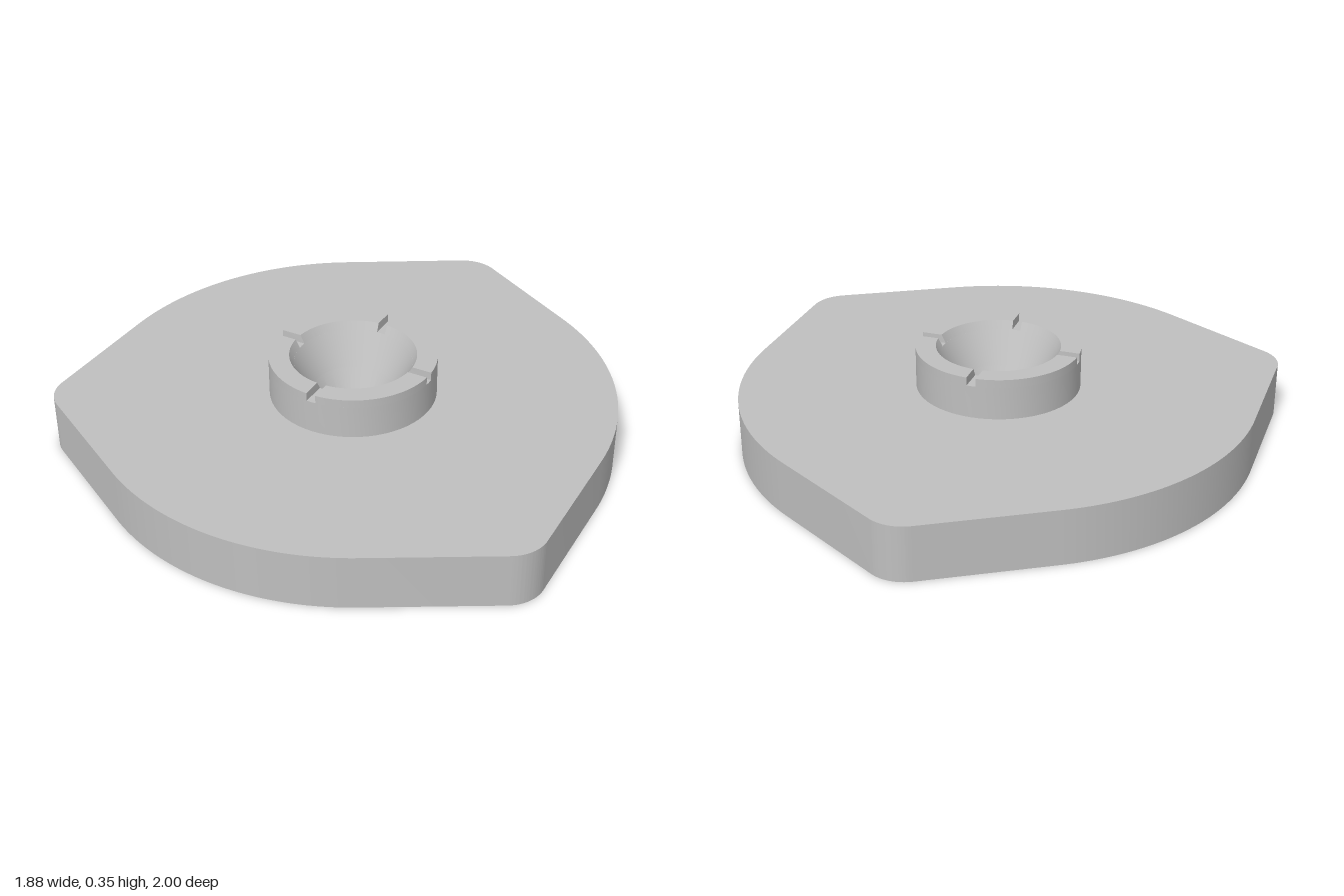
import * as THREE from 'three';
import { toCreasedNormals } from 'three/addons/utils/BufferGeometryUtils.js';

const PLATE_H = 0.2, SLOT_Y = 0.32, TOP_Y = 0.35;
const HUB_R = 0.298, SLOT_HALF = 0.017;
const CENTRE_Z = 0.0635;

// radius of the conical bore at height y
const boreRadius = (y) => 0.04 + (0.225 - 0.04) * (y / TOP_Y);

// extrude a shape upward from y0 to y1; its inner edge (radius < limit) follows the cone
function extrudeWithBore(shape, y0, y1, limit, curveSegments) {
  const geo = new THREE.ExtrudeGeometry(shape, { depth: y1 - y0, bevelEnabled: false, curveSegments });
  geo.rotateX(-Math.PI / 2);
  geo.translate(0, y0, 0);
  const p = geo.attributes.position;
  for (let i = 0; i < p.count; i++) {
    const r = Math.hypot(p.getX(i), p.getZ(i));
    if (r > limit) continue;
    const k = boreRadius(p.getY(i)) / r;
    p.setX(i, p.getX(i) * k);
    p.setZ(i, p.getZ(i) * k);
  }
  return toCreasedNormals(geo, 0.6);
}

// three rounded corners joined by tangents to a large circle
function plateShape() {
  const R = 0.9365, r = 0.14, d = 0.9235;
  const phi = Math.acos((R - r) / d);
  const shape = new THREE.Shape();
  for (let k = 0; k < 3; k++) {
    const a = Math.PI / 2 + (k * 2 * Math.PI) / 3;
    shape.absarc(d * Math.cos(a), d * Math.sin(a), r, a - phi, a + phi, false);
    shape.absarc(0, 0, R, a + phi, a + (2 * Math.PI) / 3 - phi, false);
  }
  shape.closePath();
  const hole = new THREE.Path();
  hole.absarc(0, 0, boreRadius(PLATE_H), 0, Math.PI * 2, true);
  shape.holes.push(hole);
  return shape;
}

// quarter of the rim between two parallel-sided slots
function rimShape() {
  const ri = boreRadius(TOP_Y);
  const ao = Math.asin(SLOT_HALF / HUB_R), ai = Math.asin(SLOT_HALF / ri);
  const shape = new THREE.Shape();
  shape.absarc(0, 0, HUB_R, ao, Math.PI / 2 - ao, false);
  shape.absarc(0, 0, ri, Math.PI / 2 - ai, ai, true);
  shape.closePath();
  return shape;
}

export function createModel() {
  const grey = new THREE.MeshStandardMaterial({ color: 0xbfbfbf });
  grey.name = 'grey';
  const model = new THREE.Group();
  model.name = 'rotorPlate';
  const body = new THREE.Group();
  body.name = 'body';
  body.position.z = CENTRE_Z;
  model.add(body);

  const add = (name, geometry) => {
    const mesh = new THREE.Mesh(geometry, grey);
    mesh.name = name;
    body.add(mesh);
    return mesh;
  };

  // lobed base plate with the lower part of the bore
  add('plate', extrudeWithBore(plateShape(), 0, PLATE_H, 0.25, 32));

  // hub up to the slot floors
  const ring = new THREE.Shape();
  ring.absarc(0, 0, HUB_R, 0, Math.PI * 2, false);
  const bore = new THREE.Path();
  bore.absarc(0, 0, boreRadius(SLOT_Y), 0, Math.PI * 2, true);
  ring.holes.push(bore);
  add('hub', extrudeWithBore(ring, PLATE_H, SLOT_Y, 0.25, 32));

  // four rim segments with slots between them
  const rim = extrudeWithBore(rimShape(), SLOT_Y, TOP_Y, 0.25, 16);
  for (let k = 0; k < 4; k++) add('rimSegment' + (k + 1), rim).rotation.y = (k * Math.PI) / 2;

  return model;
}
